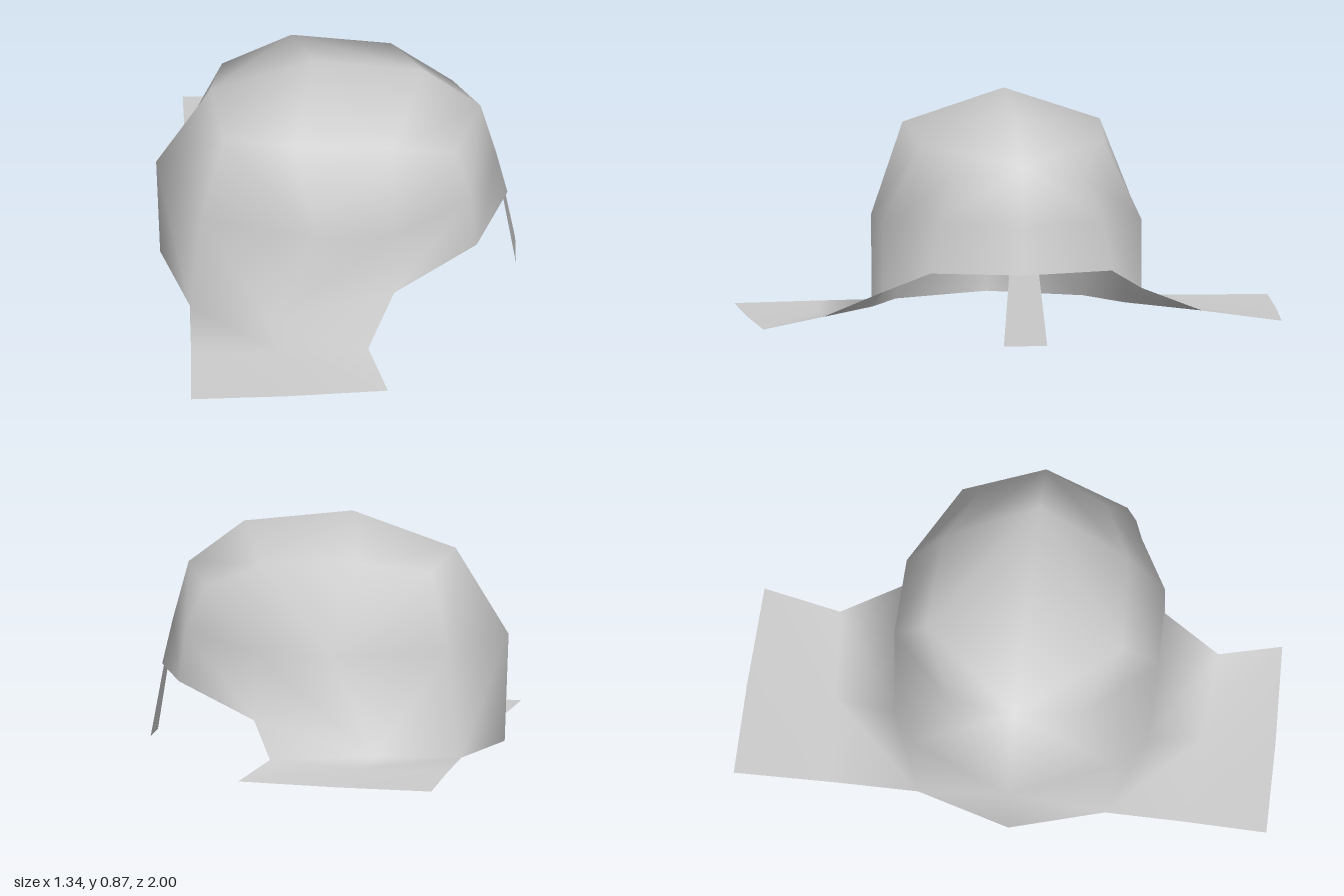
import * as THREE from 'three';
import { mergeVertices } from 'three/addons/utils/BufferGeometryUtils.js';

const paleGrey = new THREE.MeshStandardMaterial({ color: 0xcccccc, side: THREE.DoubleSide });
paleGrey.name = 'paleGrey';
const MID = 0.043; // z of the dome's ridge

// Rows of [x, y, half width], each running from the -x end to the +x end
const rim = [[-0.655, 0.015, 0], [-0.55, 0.008, 0.35], [-0.25, 0.025, 0.475], [0.21, 0.15, 0.485], [0.52, 0.265, 0.34], [0.64, 0.27, 0]];
const waist = [[-0.67, 0.42, 0], [-0.51, 0.41, 0.375], [-0.08, 0.4, 0.497], [0.21, 0.41, 0.485], [0.5, 0.45, 0.31], [0.6, 0.44, 0]];
const shoulder = [[-0.47, 0.74, 0], [-0.42, 0.69, 0.25], [-0.16, 0.735, 0.37], [0.21, 0.71, 0.345], [0.44, 0.61, 0.24], [0.54, 0.66, 0]];
const ridge = [[-0.47, 0.74, 0], [-0.47, 0.74, 0], [-0.08, 0.87, 0], [0.33, 0.82, 0], [0.54, 0.66, 0], [0.54, 0.66, 0]];
const flapTip = [[-0.555, 0, 1], [-0.2, 0.004, 0.992], [0.18, 0.012, 0.972]];
const flapFold = [[-0.55, 0.005, 0.66], [-0.22, 0.015, 0.69], [0.11, 0.045, 0.71]];

const place = (row, side, centre) => row.map(([x, y, w]) => [x, y, centre + side * w]);

// Joins neighbouring rows with triangles, leaving out collapsed ones
function skin(rows, side, out) {
  const same = (p, q) => p.every((v, i) => v === q[i]);
  const tri = (a, b, c) => {
    if (same(a, b) || same(b, c) || same(a, c)) return;
    out.push(...a, ...(side > 0 ? b : c), ...(side > 0 ? c : b));
  };
  for (let r = 0; r < rows.length - 1; r++) {
    for (let c = 0; c < rows[r].length - 1; c++) {
      const a = rows[r][c], b = rows[r][c + 1], d = rows[r + 1][c + 1], e = rows[r + 1][c];
      if (c < 2) { tri(a, b, e); tri(b, d, e); } else { tri(a, b, d); tri(a, d, e); }
    }
  }
}

function surface(points) {
  const g = new THREE.BufferGeometry();
  g.setAttribute('position', new THREE.Float32BufferAttribute(points, 3));
  const merged = mergeVertices(g, 1e-4);
  merged.computeVertexNormals();
  return merged;
}

export function createModel() {
  const group = new THREE.Group();

  // Open dome with a side flap flowing out of each lower rim
  const points = [];
  for (const side of [1, -1]) {
    const base = place(rim, side, MID);
    skin([base, ...[waist, shoulder, ridge].map(r => place(r, side, MID))], side, points);
    skin([place(flapTip, side, 0), place(flapFold, side, 0.03), base.slice(1, 4)], side, points);
  }
  const shell = new THREE.Mesh(surface(points), paleGrey);
  shell.name = 'domeWithSideFlaps';
  group.add(shell);

  // Narrow tab hanging from the raised end of the rim
  const tab = [];
  skin([
    [[0.67, 0.008, 0.125], [0.67, 0.008, -0.038]],
    [[0.625, 0.27, 0.1], [0.625, 0.27, -0.012]],
  ], 1, tab);
  const strip = new THREE.Mesh(surface(tab), paleGrey);
  strip.name = 'hangingTab';
  group.add(strip);

  return group;
}
